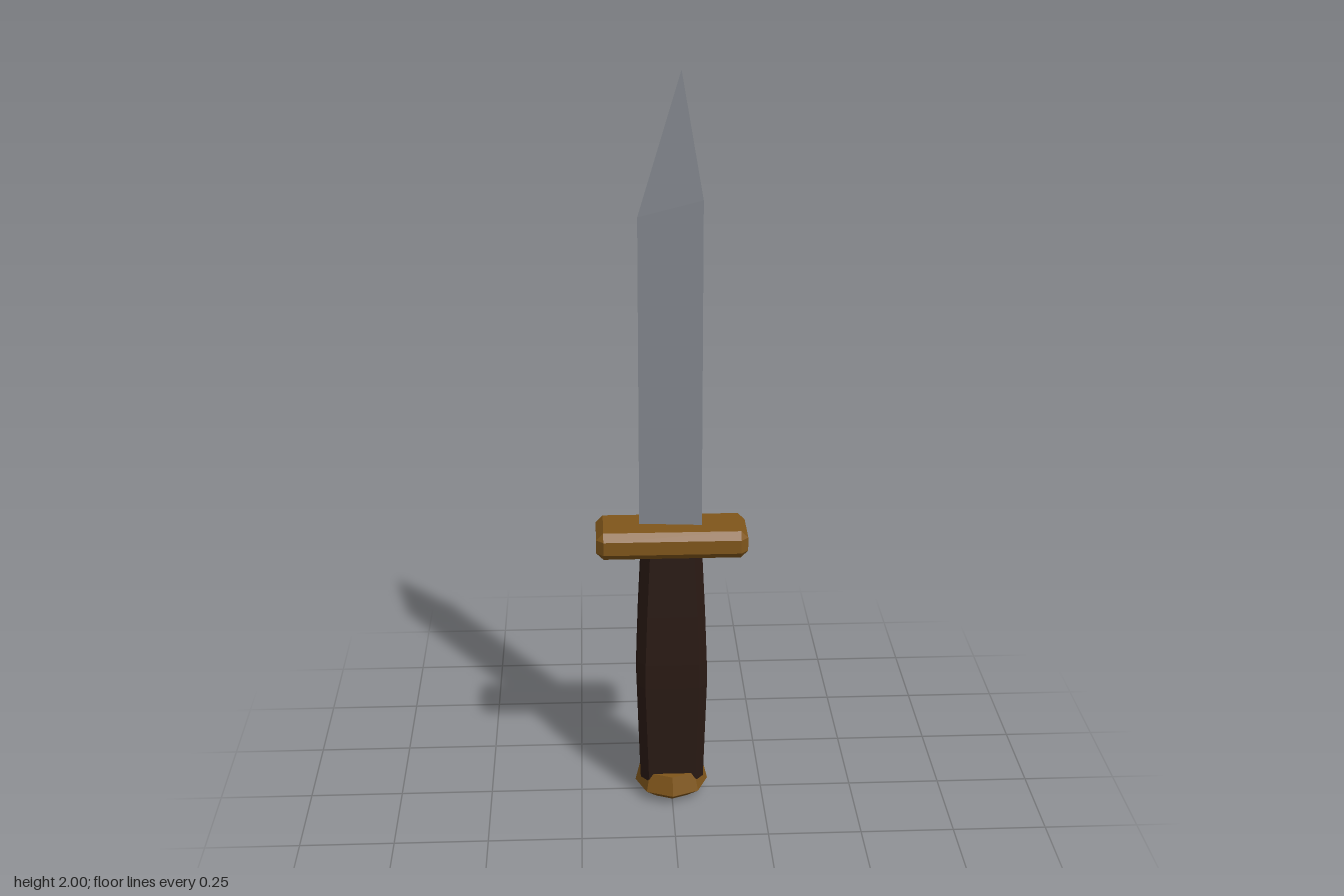
import * as THREE from 'three';
import { ConvexGeometry } from 'three/addons/geometries/ConvexGeometry.js';

const paint = (color) => new THREE.MeshStandardMaterial({ color, flatShading: true });
const V = (x, y, z) => new THREE.Vector3(x, y, z);

// Box with every edge and corner cut by c
function chamferBox(w, h, d, c) {
  const pts = [];
  for (const x of [-w / 2, w / 2]) for (const y of [-h / 2, h / 2]) for (const z of [-d / 2, d / 2]) {
    const ix = x - Math.sign(x) * c, iy = y - Math.sign(y) * c, iz = z - Math.sign(z) * c;
    pts.push(V(x, iy, iz), V(ix, y, iz), V(ix, iy, z));
  }
  return new ConvexGeometry(pts);
}

// Capped loft through rectangular sections with cut corners: [y, half width, half depth]
function loftOctagon(sections, cutX, cutZ) {
  const pos = [], index = [], n = 8;
  for (const [y, a, b] of sections) {
    const p = a - cutX, q = b - cutZ;
    for (const [x, z] of [[a, q], [a, -q], [p, -b], [-p, -b], [-a, -q], [-a, q], [-p, b], [p, b]]) pos.push(x, y, z);
  }
  for (let s = 0; s < sections.length - 1; s++) for (let i = 0; i < n; i++) {
    const a = s * n + i, b = s * n + (i + 1) % n;
    index.push(a, b, b + n, a, b + n, a + n);
  }
  const top = (sections.length - 1) * n;
  for (let i = 1; i < n - 1; i++) index.push(0, i + 1, i, top, top + i, top + i + 1);
  const g = new THREE.BufferGeometry();
  g.setAttribute('position', new THREE.Float32BufferAttribute(pos, 3));
  g.setIndex(index);
  g.computeVertexNormals();
  return g;
}

export function createModel() {
  const model = new THREE.Group();
  const steel = paint(0x858990), brass = paint(0x80561b), grip = paint(0x2a1a14);
  const add = (name, geometry, material, y = 0) => {
    const mesh = new THREE.Mesh(geometry, material);
    mesh.name = name;
    mesh.position.y = y;
    model.add(mesh);
  };

  // Wedge blade: sharp edge on -x, flat spine on +x, pointed tip
  add('blade', new ConvexGeometry([
    V(-0.085, 0.77, 0), V(0.08, 0.77, 0.015), V(0.08, 0.77, -0.015),
    V(-0.085, 1.635, 0), V(0.08, 1.68, 0.015), V(0.08, 1.68, -0.015),
    V(0.025, 2, 0),
  ]), steel);

  // Crossguard
  add('guard', chamferBox(0.4, 0.075, 0.16, 0.019), brass, 0.768);

  // Swelling grip
  add('handle', loftOctagon([
    [0.06, 0.086, 0.065], [0.35, 0.095, 0.071], [0.42, 0.094, 0.071], [0.56, 0.089, 0.066], [0.75, 0.08, 0.058],
  ], 0.022, 0.027), grip);

  // Eight-sided pommel
  const profile = [[0, 0], [0.06, 0], [0.1, 0.03], [0.087, 0.083], [0, 0.083]];
  add('pommel', new THREE.LatheGeometry(profile.map(([r, y]) => new THREE.Vector2(r, y)), 8), brass);

  return model;
}
